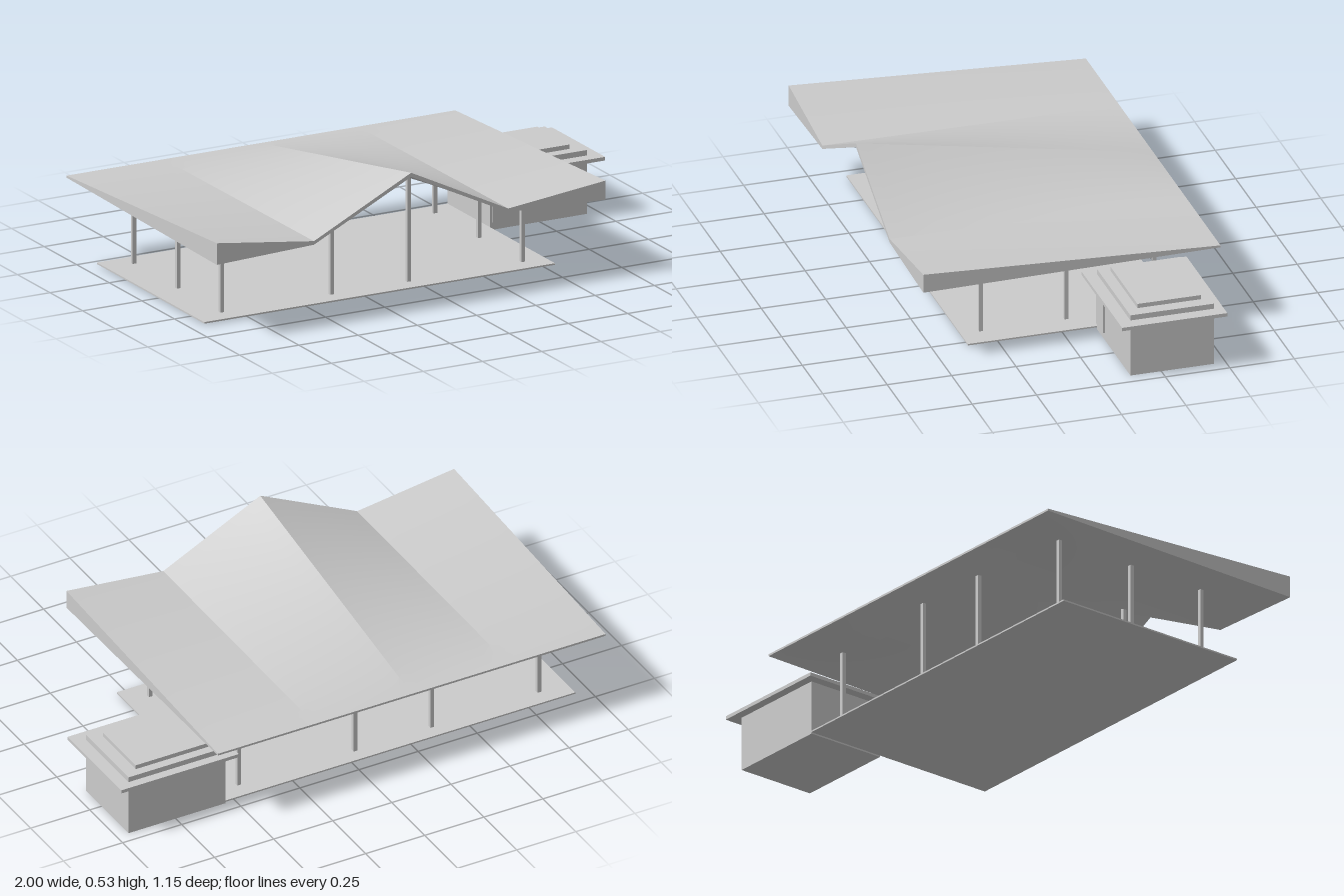
import * as THREE from 'three';
import { toCreasedNormals } from 'three/addons/utils/BufferGeometryUtils.js';

const material = new THREE.MeshStandardMaterial({ color: 0xcccccc });

// Roof outline at the front edge: x, upper height, lower height
const PROFILE = [
  [-1.0, 0.385, 0.301],
  [-0.59, 0.33, 0.316],
  [-0.18, 0.532, 0.516],
  [0.23, 0.33, 0.316],
  [0.64, 0.375, 0.301],
];
const FRONT = 0.575, BACK = -0.578;
const BACK_TOP = 0.324, BACK_BOTTOM = 0.316;
const lerp = THREE.MathUtils.lerp;

// Height of the roof's upper or lower skin; the fold flattens towards the back
function roofHeight(x, z, upper) {
  const i = Math.min(3, Math.max(0, Math.floor((x + 1) / 0.41 + 1e-4)));
  const a = PROFILE[i], b = PROFILE[i + 1];
  const k = upper ? 1 : 2;
  const front = lerp(a[k], b[k], (x - a[0]) / (b[0] - a[0]));
  return lerp(upper ? BACK_TOP : BACK_BOTTOM, front, (z - BACK) / (FRONT - BACK));
}

// Box given by its minimum and maximum corners
function block(name, x0, x1, y0, y1, z0, z1) {
  const mesh = new THREE.Mesh(new THREE.BoxGeometry(x1 - x0, y1 - y0, z1 - z0), material);
  mesh.position.set((x0 + x1) / 2, (y0 + y1) / 2, (z0 + z1) / 2);
  mesh.name = name;
  return mesh;
}

// Folded roof: a subdivided slab whose two skins follow roofHeight
function foldedRoof() {
  const geometry = new THREE.BoxGeometry(1.64, 1, FRONT - BACK, 32, 1, 24);
  geometry.translate(-0.18, 0, (FRONT + BACK) / 2);
  const p = geometry.attributes.position;
  for (let i = 0; i < p.count; i++) {
    p.setY(i, roofHeight(p.getX(i), p.getZ(i), p.getY(i) > 0));
  }
  const mesh = new THREE.Mesh(toCreasedNormals(geometry, 0.07), material);
  mesh.name = 'foldedRoof';
  return mesh;
}

// Three rows of slim square posts reaching up to the roof's underside
function posts() {
  const group = new THREE.Group();
  group.name = 'posts';
  const rows = [
    ['frontPost', [[-0.825, 0.291], [-0.365, 0.297], [-0.04, 0.297], [0.445, 0.291]]],
    ['middlePost', [[-0.825, -0.041], [0.445, -0.041]]],
    ['backPost', [[-0.825, -0.382], [-0.365, -0.394], [-0.04, -0.394], [0.445, -0.382]]],
  ];
  const h = 0.0075;
  for (const [name, spots] of rows) {
    for (const [x, z] of spots) {
      const top = roofHeight(x, z, false) + 0.003;
      group.add(block(name, x - h, x + h, 0.01, top, z - h, z + h));
    }
  }
  return group;
}

// Side hut with a door, an overhanging slab and a stepped top
function hut() {
  const group = new THREE.Group();
  group.name = 'hut';
  group.add(
    block('hutWalls', 0.54, 0.95, 0, 0.248, -0.455, -0.13),
    block('hutDoor', 0.55, 0.64, 0.03, 0.19, -0.135, -0.123),
    block('hutRoofSlab', 0.503, 1.0, 0.213, 0.227, -0.49, -0.082),
    block('hutRoofStep', 0.575, 0.9, 0.245, 0.265, -0.42, -0.173),
  );
  return group;
}

export function createModel() {
  const model = new THREE.Group();
  model.name = 'pavilion';
  model.add(block('floorSlab', -0.94, 0.54, 0.006, 0.012, -0.455, 0.37));
  model.add(foldedRoof(), posts(), hut());
  return model;
}
